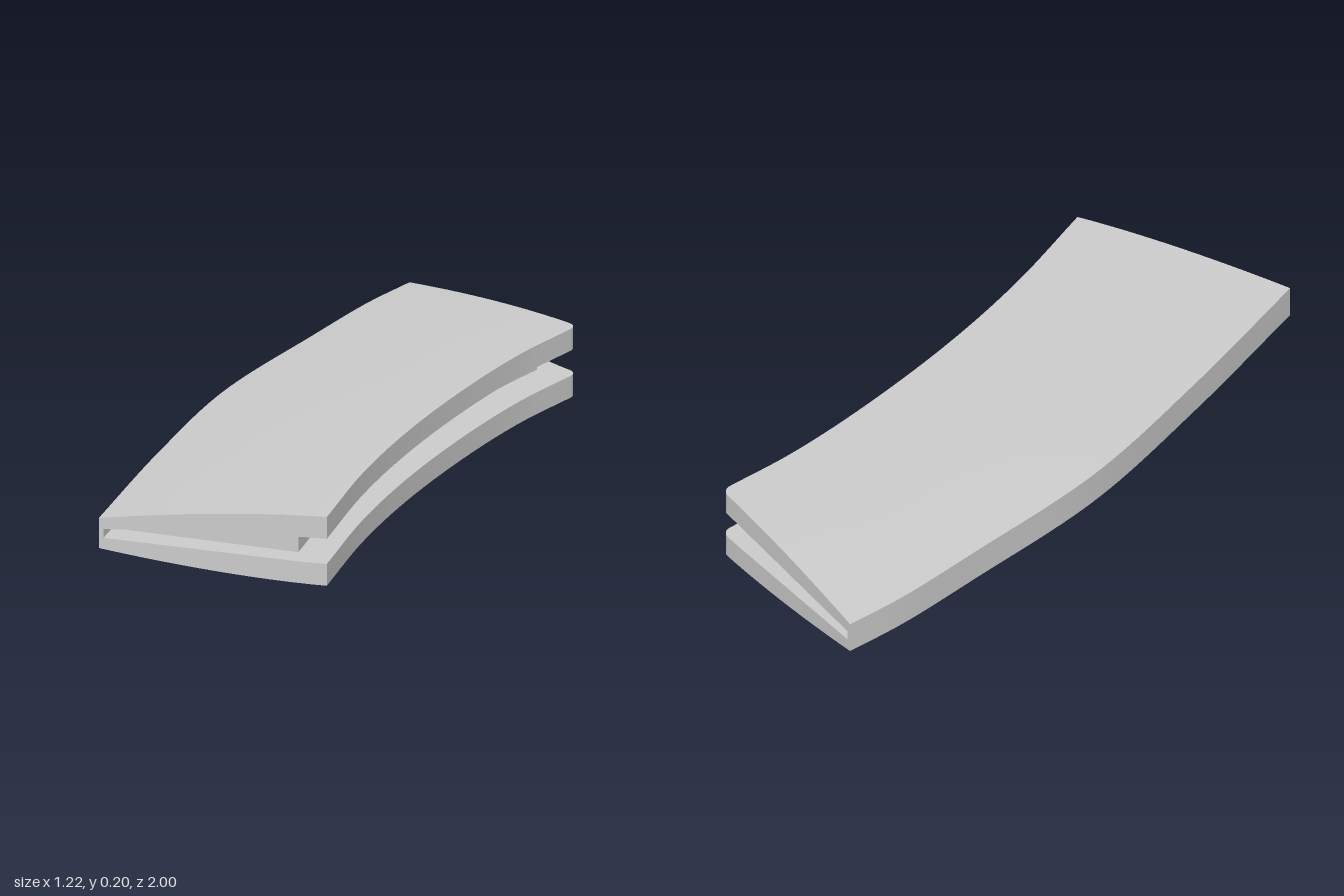
import * as THREE from 'three';

const MID = 0.1025; // height of the symmetry plane
const curve = (pts) => new THREE.CatmullRomCurve3(pts.map(([x, z]) => new THREE.Vector3(x, 0, z)));

// Long plan edges, from the back end to the front end
const thinEdge = curve([[-0.61, -1], [-0.585, -0.8], [-0.52, -0.5], [-0.4, 0], [-0.196, 0.5], [0.037, 1]]);
const thickEdge = curve([[0.085, -0.94], [0.115, -0.69], [0.18, -0.4], [0.3, -0.01], [0.44, 0.34], [0.61, 0.68]]);

// Half thickness of the body and half height of the slot; s runs from thin to thick edge
const bodyHalf = (s) => 0.045 + 0.0575 * (1 - Math.pow(1 - s, 1.7));
const slotHalf = (s) => Math.min(0.0375, 0.013 + 0.027 * s);

// Solid block bent to the plan between two heights
function slab(name, material, [s0, s1], [t0, t1], low, high) {
  const geo = new THREE.BoxGeometry(1, 1, 1, 32, 1, 48);
  const pos = geo.attributes.position;
  const r = 0.035;
  for (let i = 0; i < pos.count; i++) {
    const u = pos.getX(i) + 0.5;
    const s = s0 + (s1 - s0) * (1 - (1 - u) ** 2); // denser near the thick edge
    const t = t0 + (t1 - t0) * (pos.getZ(i) + 0.5);
    const p = thinEdge.getPointAt(t).lerp(thickEdge.getPointAt(t), s);
    // rounded back corner on the thick edge
    const d = Math.max(0, r - (1 - s) * 0.69);
    p.z += (r - Math.sqrt(Math.max(0, r * r - d * d))) * (1 - t) ** 8;
    pos.setXYZ(i, p.x, MID + (pos.getY(i) > 0 ? high(s) : low(s)), p.z);
  }
  geo.computeVertexNormals();
  const mesh = new THREE.Mesh(geo, material);
  mesh.name = name;
  return mesh;
}

export function createModel() {
  const group = new THREE.Group();
  group.name = 'curvedGrip';
  const mat = new THREE.MeshStandardMaterial({ color: 0xcccccc });
  const full = [0, 1];
  const up = (s) => slotHalf(s);
  const down = (s) => -slotHalf(s);

  // Upper and lower plates, tapering towards the thin edge
  group.add(slab('upperPlate', mat, full, full, up, bodyHalf));
  group.add(slab('lowerPlate', mat, full, full, (s) => -bodyHalf(s), down));
  // Recessed core leaving a slot around three sides
  group.add(slab('core', mat, [0.01, 0.845], [0.04, 0.96], down, up));
  // Wall closing the thin edge
  group.add(slab('thinEdgeWall', mat, [0, 0.02], full, down, up));
  return group;
}
